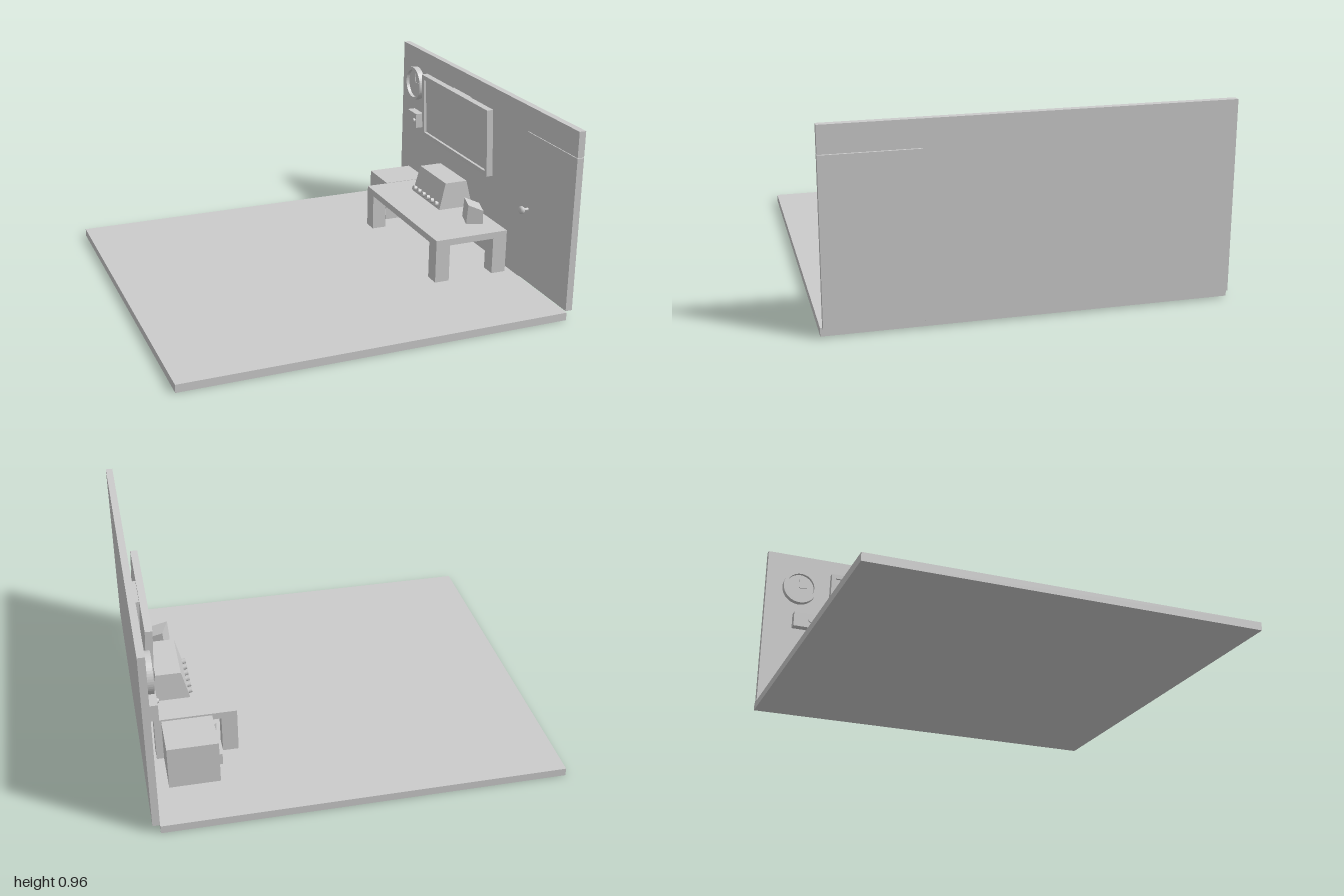
import * as THREE from 'three';

const grey = new THREE.MeshStandardMaterial({ color: 0xcccccc, flatShading: true });
const smooth = new THREE.MeshStandardMaterial({ color: 0xcccccc });

function add(parent, name, geometry, material = grey) {
  const mesh = new THREE.Mesh(geometry, material);
  mesh.name = name;
  parent.add(mesh);
  return mesh;
}

// Box given by its limits on each axis
function block(parent, name, [x0, x1], [y0, y1], [z0, z1]) {
  const mesh = add(parent, name, new THREE.BoxGeometry(x1 - x0, y1 - y0, z1 - z0));
  mesh.position.set((x0 + x1) / 2, (y0 + y1) / 2, (z0 + z1) / 2);
  return mesh;
}

// Cylinder lying along x
function disc(parent, name, radius, [x0, x1], y, z, sides = 32) {
  const geometry = new THREE.CylinderGeometry(radius, radius, x1 - x0, sides).rotateZ(Math.PI / 2);
  const mesh = add(parent, name, geometry);
  mesh.position.set((x0 + x1) / 2, y, z);
  return mesh;
}

// Extrudes a (z, y) outline towards -x
function extrudeToRoom(shape, depth, curveSegments = 24) {
  return new THREE.ExtrudeGeometry(shape, { depth, bevelEnabled: false, curveSegments })
    .rotateY(-Math.PI / 2);
}

function rectangle(target, w, h) {
  target.moveTo(-w / 2, -h / 2);
  target.lineTo(w / 2, -h / 2);
  target.lineTo(w / 2, h / 2);
  target.lineTo(-w / 2, h / 2);
  target.closePath();
  return target;
}

// Extrudes an (x, y) profile along z, centred on z = 0
function prism(points, width) {
  const shape = new THREE.Shape(points.map(([x, y]) => new THREE.Vector2(x, y)));
  return new THREE.ExtrudeGeometry(shape, { depth: width, bevelEnabled: false })
    .translate(0, 0, -width / 2);
}

function createRoom(root) {
  block(root, 'floor', [-1, 0.965], [0, 0.04], [-0.957, 0.955]);
  // Wall with a narrow slit at its front end
  const wall = new THREE.Group();
  wall.name = 'wall';
  root.add(wall);
  block(wall, 'wallMain', [0.965, 1], [0.04, 0.96], [-0.947, 0.495]);
  block(wall, 'wallFrontLower', [0.965, 1], [0.044, 0.828], [0.495, 0.946]);
  block(wall, 'wallFrontUpper', [0.965, 1], [0.831, 0.96], [0.495, 0.946]);
}

function createDesk(root) {
  const desk = new THREE.Group();
  desk.name = 'desk';
  root.add(desk);
  block(desk, 'deskTop', [0.525, 0.93], [0.235, 0.27], [-0.46, 0.41]);
  for (const x of [0.525, 0.852])
    for (const z of [-0.46, 0.33])
      block(desk, 'deskLeg', [x, x + 0.078], [0.04, 0.235], [z, z + 0.08]);
}

function createCabinet(root) {
  const cabinet = new THREE.Group();
  cabinet.name = 'cabinet';
  root.add(cabinet);
  block(cabinet, 'cabinetBody', [0.648, 0.895], [0.045, 0.268], [-0.697, -0.47]);
  block(cabinet, 'cabinetHandle', [0.63, 0.648], [0.12, 0.18], [-0.667, -0.652]);
  for (const y of [0.09, 0.21]) {
    const hinge = add(cabinet, 'cabinetHinge', new THREE.CylinderGeometry(0.01, 0.01, 0.04, 16));
    hinge.position.set(0.641, y, -0.48);
  }
}

function createConsole(root) {
  const unit = new THREE.Group();
  unit.name = 'console';
  root.add(unit);
  // Sloped body, slightly narrower at the top
  const geometry = prism([[0.733, 0.27], [0.93, 0.27], [0.895, 0.415], [0.77, 0.415]], 0.325);
  const p = geometry.attributes.position;
  for (let i = 0; i < p.count; i++)
    if (p.getY(i) > 0.4) p.setZ(i, p.getZ(i) * 0.95);
  geometry.computeVertexNormals();
  add(unit, 'consoleBody', geometry).position.z = -0.137;
  for (let i = 0; i < 6; i++) {
    const knob = disc(unit, 'consoleKnob', 0.014, [0.72, 0.75], 0.293, -0.272 + i * 0.052, 16);
    knob.rotation.z = -0.25;
  }
}

function createDeskMonitor(root) {
  // Small tapered box turned on the desk
  const monitor = add(root, 'deskMonitor',
    prism([[-0.045, 0], [0.043, 0], [0.043, 0.072], [-0.037, 0.105]], 0.118));
  monitor.position.set(0.834, 0.27, 0.215);
  monitor.rotation.y = -0.31;
}

function createScreen(root) {
  const screen = new THREE.Group();
  screen.name = 'wallScreen';
  screen.position.set(0.931, 0.673, -0.2);
  screen.rotation.z = 0.045;
  root.add(screen);
  const outline = rectangle(new THREE.Shape(), 0.77, 0.365);
  outline.holes.push(rectangle(new THREE.Path(), 0.72, 0.315));
  add(screen, 'screenFrame', extrudeToRoom(outline, 0.035)).position.x = 0.0175;
  block(screen, 'screenPanel', [-0.003, 0.017], [-0.159, 0.159], [-0.362, 0.362]);
  // Wedge mount between the screen and the wall
  add(root, 'screenMount', prism([[0.935, 0.845], [0.947, 0.64], [0.966, 0.64], [0.966, 0.845]], 0.2))
    .position.z = -0.2;
}

function createClock(root) {
  const clock = new THREE.Group();
  clock.name = 'clock';
  clock.position.set(0.965, 0.755, -0.757);
  root.add(clock);
  const ring = new THREE.Shape().absarc(0, 0, 0.097, 0, Math.PI * 2);
  ring.holes.push(new THREE.Path().absarc(0, 0, 0.08, 0, Math.PI * 2));
  add(clock, 'clockRim', extrudeToRoom(ring, 0.033));
  disc(clock, 'clockFace', 0.081, [-0.014, 0], 0, 0, 48);
  for (const [length, angle] of [[0.06, 0], [0.042, 1.4]]) {
    const hand = add(clock, 'clockHand',
      new THREE.BoxGeometry(0.004, length, 0.007).translate(0, length / 2, 0));
    hand.position.x = -0.016;
    hand.rotation.x = angle;
  }
}

function createWallFittings(root) {
  block(root, 'wallBox', [0.92, 0.965], [0.508, 0.592], [-0.785, -0.67]);
  disc(root, 'wallBoxKnob', 0.012, [0.909, 0.921], 0.55, -0.69, 16);
  // Round coat peg
  disc(root, 'pegStem', 0.008, [0.935, 0.966], 0.431, 0.543, 16);
  const profile = [[0, -0.012], [0.014, -0.012], [0.02, -0.004], [0.02, 0.006], [0.012, 0.012], [0, 0.012]]
    .map(([r, h]) => new THREE.Vector2(r, h));
  const head = add(root, 'pegHead', new THREE.LatheGeometry(profile, 20).rotateZ(Math.PI / 2), smooth);
  head.position.set(0.928, 0.431, 0.543);
}

export function createModel() {
  const root = new THREE.Group();
  root.name = 'roomCorner';
  createRoom(root);
  createDesk(root);
  createCabinet(root);
  createConsole(root);
  createDeskMonitor(root);
  createScreen(root);
  createClock(root);
  createWallFittings(root);
  return root;
}
